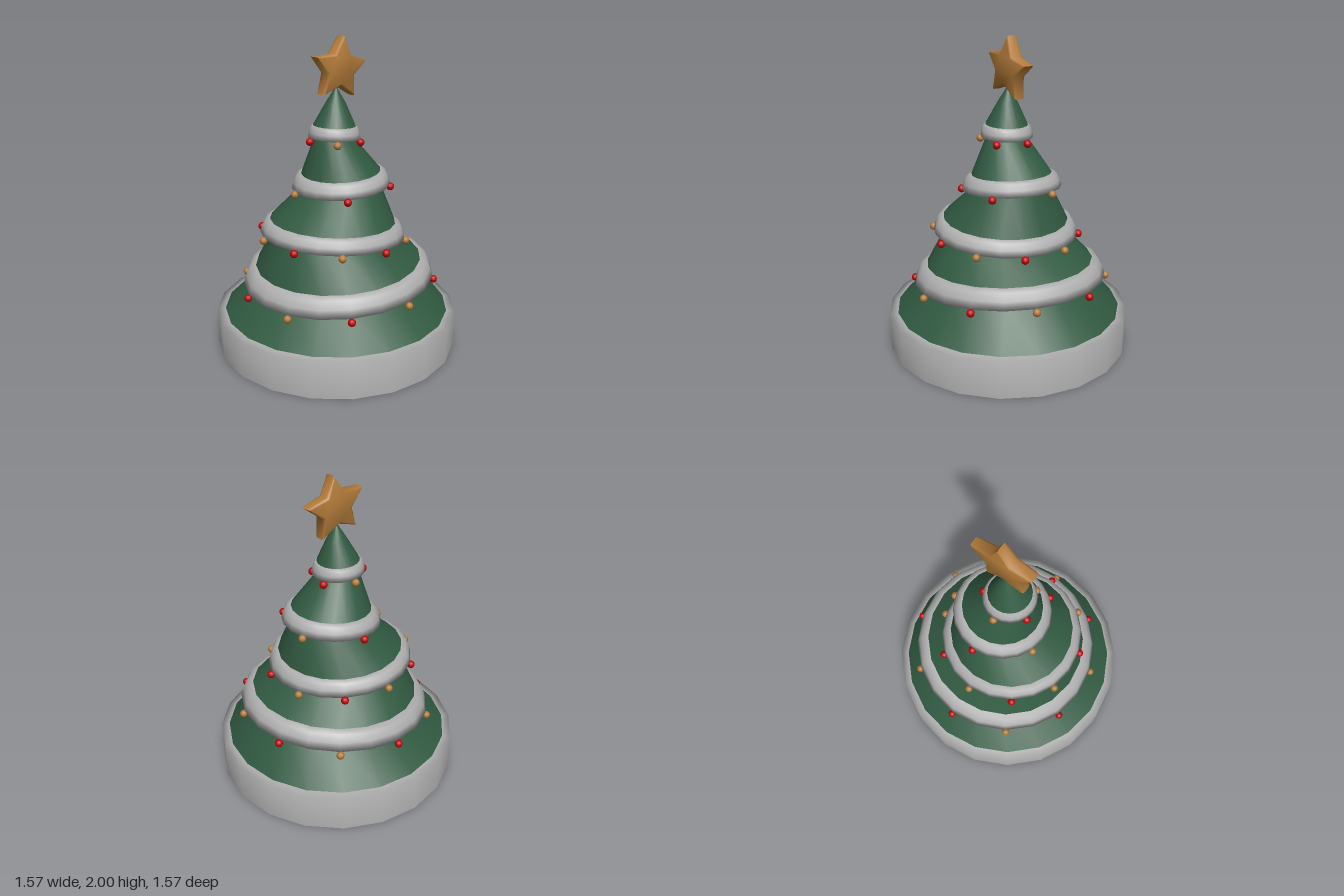
import * as THREE from 'three';
import { toCreasedNormals } from 'three/addons/utils/BufferGeometryUtils.js';

const SIDES = 20;

function material(name, color) {
  const m = new THREE.MeshStandardMaterial({ color });
  m.name = name;
  return m;
}

// Smooth skin over stacked circles [radius, height, centreX, tilt], listed from the bottom up.
function loft(stations) {
  const pos = [], index = [];
  for (const [r, y, cx = 0, tilt = 0] of stations) {
    for (let i = 0; i < SIDES; i++) {
      const a = (i / SIDES) * Math.PI * 2;
      const x = r * Math.cos(a);
      pos.push(cx + x, y + tilt * x, r * Math.sin(a));
    }
  }
  for (let j = 0; j < stations.length - 1; j++) {
    for (let i = 0; i < SIDES; i++) {
      const k = (i + 1) % SIDES;
      const a = j * SIDES + i, b = j * SIDES + k, c = a + SIDES, d = b + SIDES;
      if (stations[j + 1][0] > 0) index.push(a, c, d);
      if (stations[j][0] > 0) index.push(a, d, b);
    }
  }
  const g = new THREE.BufferGeometry();
  g.setAttribute('position', new THREE.Float32BufferAttribute(pos, 3));
  g.setIndex(index);
  g.computeVertexNormals();
  return g;
}

export function createModel() {
  const green = material('pine green', 0x315a42);
  const grey = material('snow grey', 0xb0b0b0);
  const red = material('bauble red', 0xc00308);
  const gold = material('gold', 0xb27a39);

  const tree = new THREE.Group();
  tree.name = 'tree';
  const add = (name, geometry, mat, parent = tree) => {
    const mesh = new THREE.Mesh(geometry, mat);
    mesh.name = name;
    parent.add(mesh);
    return mesh;
  };

  // Drum base: flat bottom with a crisp edge, wall running softly into the rim
  add('baseBottom', loft([[0, 0], [0.787, 0]]), grey);
  add('base', loft([[0.787, 0], [0.787, 0.238], [0.73, 0.245]]), grey);

  // Tilted garlands: outer radius, lower edge height, top radius, top height,
  // inner radius under the garland, and the baubles beneath (r = red, g = gold, from the back)
  const garlands = [
    { cx: 0.018, tilt: 0.068, r: 0.623, y: 0.452, rt: 0.542, yt: 0.565, ri: 0.535, balls: 'rgrgrgrgrg', br: 0.63, by: 0.432 },
    { cx: -0.03, tilt: -0.055, r: 0.467, y: 0.757, rt: 0.405, yt: 0.848, ri: 0.39, balls: 'grgrgrgrgr', br: 0.474, by: 0.744 },
    { cx: 0.042, tilt: 0.063, r: 0.315, y: 1.064, rt: 0.255, yt: 1.155, ri: 0.253, balls: 'rgrrg', br: 0.319, by: 1.052 },
    { cx: -0.015, tilt: -0.05, r: 0.165, y: 1.38, rt: 0.135, yt: 1.456, ri: 0.128, balls: 'grrgr', br: 0.166, by: 1.358 },
  ];

  const ballGeometry = new THREE.SphereGeometry(0.025, 10, 8);
  let lower = [0.735, 0.244, 0, 0];
  garlands.forEach(({ cx, tilt, r, y, rt, yt, ri, balls, br, by }, n) => {
    // Green tier reaching up under this garland
    add('tier' + (n + 1), loft([lower, [ri, y - 0.005, cx, tilt]]), green);
    lower = [rt, yt - 0.004, cx, tilt];

    // Garland sloping outward to a soft lower lip, with a flat underside
    const dr = r - rt, dy = yt - y;
    const profile = [
      [ri - 0.01, y - 0.008], [r, y],
      [r - dr * 0.2, y + dy * 0.45], [r - dr * 0.52, y + dy * 0.85],
      [rt, yt], [rt - 0.012, yt - 0.01],
    ];
    add('garland' + (n + 1), loft(profile.map(p => [...p, cx, tilt])), grey);

    // Baubles hanging along the lower edge
    const set = new THREE.Group();
    set.name = 'baubles' + (n + 1);
    tree.add(set);
    [...balls].forEach((c, i) => {
      const a = (i / balls.length) * Math.PI * 2;
      const x = br * Math.sin(a);
      add('bauble', ballGeometry, c === 'r' ? red : gold, set)
        .position.set(cx + x, by + tilt * x, -br * Math.cos(a));
    });
  });

  // Pointed treetop
  add('treetop', loft([lower, [0.066, 1.59, -0.004, -0.02], [0, 1.7]]), green);

  // Plump five-pointed star, slightly wider than tall and thinner toward its tips
  const shape = new THREE.Shape();
  for (let i = 0; i < 10; i++) {
    const a = Math.PI / 2 + (i * Math.PI) / 5;
    const r = i % 2 ? 0.095 : 0.188;
    shape[i ? 'lineTo' : 'moveTo'](r * Math.cos(a) * 1.1, r * Math.sin(a));
  }
  shape.closePath();
  const starGeometry = new THREE.ExtrudeGeometry(shape, {
    depth: 0.044, bevelEnabled: true, bevelThickness: 0.017, bevelSize: 0.015, bevelOffset: -0.007, bevelSegments: 2,
  });
  starGeometry.translate(0, 0, -0.022);
  const p = starGeometry.attributes.position;
  for (let i = 0; i < p.count; i++) {
    const reach = Math.hypot(p.getX(i), p.getY(i));
    p.setZ(i, p.getZ(i) * (1.12 - 1.6 * Math.max(0, reach - 0.09)));
  }
  const star = add('star', toCreasedNormals(starGeometry, 1.2), gold);
  star.position.set(0.019, 1.803, 0);
  star.rotation.z = -0.12;

  return tree;
}
